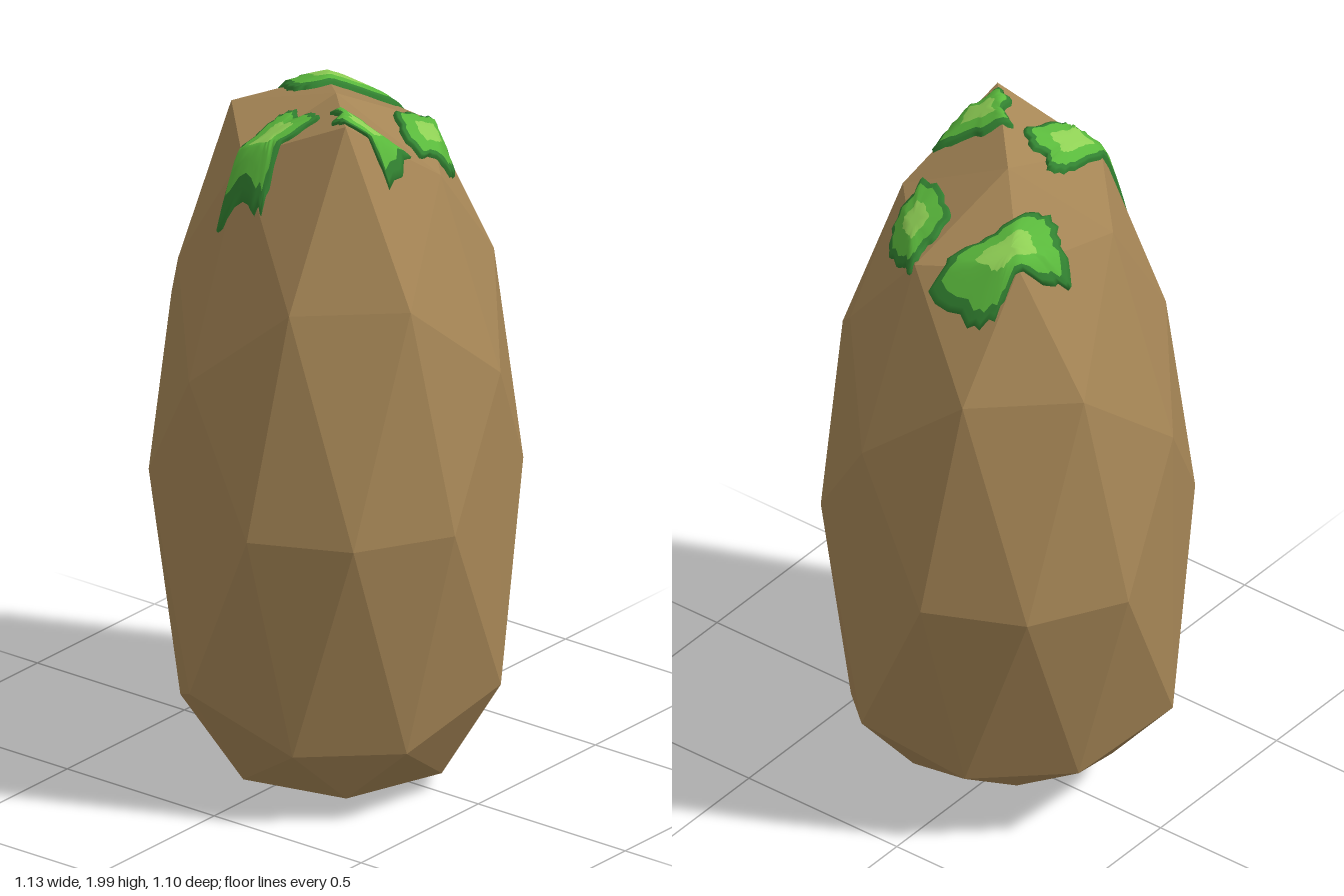
import * as THREE from 'three';

const material = (color, flatShading) =>
  new THREE.MeshStandardMaterial({ color, flatShading, side: THREE.DoubleSide });

// Level of the unit icosphere -> [level, height, radius scale, lean along u, lean along v]
const levels = [
  [1, 1.94, 1, 0, 0], [0.851, 1.915, 1.04, 0.21, 0], [0.809, 1.81, 1, 0, 0.14],
  [0.526, 1.475, 0.97, 0, 0], [0.5, 1.503, 0.98, 0, 0], [0.309, 1.245, 1, 0, 0],
  [0, 0.865, 1, 0, 0], [-0.309, 0.345, 1, 0, 0], [-0.5, 0.233, 0.92, -0.03, 0],
  [-0.526, 0.218, 0.96, 0, 0], [-0.809, 0.083, 1, -0.14, 0], [-0.851, 0.08, 1, -0.1, 0],
  [-1, 0.004, 1, 0, 0],
];

// Tall faceted boulder: a subdivided icosahedron, stretched level by level
function createRock() {
  const geometry = new THREE.IcosahedronGeometry(1, 1);
  const pos = geometry.attributes.position;
  const turn = THREE.MathUtils.degToRad(137);
  const c = Math.cos(turn), s = Math.sin(turn);
  for (let i = 0; i < pos.count; i++) {
    const level = pos.getY(i), z = pos.getZ(i);
    const [, height, scale, leanU, leanV] = levels.reduce((a, b) =>
      Math.abs(b[0] - level) < Math.abs(a[0] - level) ? b : a);
    // long axis u drifts towards the foot, short axis v is slightly boxy
    const u = pos.getX(i) * 0.6 * scale + 0.045 * Math.max(0, -level) * (level > -0.95 ? 1 : 0);
    const v = (0.54 * z - 0.04 * z ** 3) * scale;
    pos.setXYZ(i, u * c - v * s - 0.005, height + leanU * u + leanV * v, u * s + v * c + 0.02);
  }
  geometry.computeVertexNormals();
  const rock = new THREE.Mesh(geometry, material(0xa68656, true));
  rock.name = 'rock';
  return rock;
}

// Moss outlines seen from above, as [x, z]
const outlines = {
  mossLeft: [[-0.37, -0.09], [-0.3, -0.07], [-0.22, -0.07], [-0.13, -0.07], [-0.1, -0.035],
    [-0.145, 0], [-0.13, 0.04], [-0.16, 0.09], [-0.24, 0.08], [-0.3, 0.06], [-0.375, 0.06], [-0.365, 0.01]],
  mossFront: [[-0.145, 0.11], [-0.095, 0.17], [-0.09, 0.21], [-0.045, 0.305], [-0.165, 0.33],
    [-0.175, 0.26], [-0.225, 0.22], [-0.22, 0.175], [-0.165, 0.16]],
  mossFrontRight: [[0.32, 0.09], [0.285, 0.15], [0.23, 0.23], [0.155, 0.28], [0.09, 0.265],
    [0.03, 0.275], [0.065, 0.19], [0.15, 0.09], [0.215, 0.08], [0.265, 0.09]],
  mossBackRight: [[0.125, -0.295], [0.175, -0.265], [0.245, -0.2], [0.32, -0.19], [0.35, -0.12],
    [0.335, 0.02], [0.245, -0.01], [0.17, -0.075], [0.08, -0.105], [0.035, -0.155], [0.08, -0.225]],
};

// Colour bands from the middle outwards: rings of [size, lift above the rock]
const bands = [
  { name: 'mossHighlight', color: 0x8fd055, rings: [[0, 0.024], [0.15, 0.024], [0.3, 0.024], [0.42, 0.022]] },
  { name: 'mossBody', color: 0x5ab93c, rings: [[0.42, 0.022], [0.55, 0.02], [0.7, 0.018], [0.82, 0.016]] },
  { name: 'mossRim', color: 0x318030, rings: [[0.82, 0.016], [0.92, 0.013], [0.99, 0.01], [1, -0.01]] },
];

// Moss patch: concentric rings dropped onto the rock
function createMoss(name, corners, rock) {
  const patch = new THREE.Group();
  patch.name = name;
  const ray = new THREE.Raycaster();
  const down = new THREE.Vector3(0, -1, 0);
  const heart = new THREE.Vector3(0, 1.4, 0);
  const cx = corners.reduce((t, p) => t + p[0], 0) / corners.length;
  const cz = corners.reduce((t, p) => t + p[1], 0) / corners.length;

  // finer, ragged outline, so that the moss follows the facets
  const outline = corners.flatMap(([x, z], i) => {
    const [nx, nz] = corners[(i + 1) % corners.length];
    return [0, 1, 2, 3].map((k) => {
      const ragged = 1 + (k ? 0.06 * Math.sin(i * 5.3 + k * 2.1) : 0);
      return [cx + (x + (nx - x) * k / 4 - cx) * ragged, cz + (z + (nz - z) * k / 4 - cz) * ragged];
    });
  });
  const drape = (x, z, lift) => {
    ray.set(new THREE.Vector3(x, 3, z), down);
    const p = ray.intersectObject(rock)[0].point.clone();
    return p.addScaledVector(p.clone().sub(heart).normalize(), lift);
  };

  for (const { name: bandName, color, rings } of bands) {
    const points = [], index = [];
    const n = outline.length;
    rings.forEach(([size, lift], r) => {
      outline.forEach(([x, z], i) => {
        points.push(drape(cx + (x - cx) * size, cz + (z - cz) * size, lift));
        if (r === 0) return;
        const a = (r - 1) * n + i, b = (r - 1) * n + (i + 1) % n;
        index.push(a, b, b + n, a, b + n, a + n);
      });
    });
    const geometry = new THREE.BufferGeometry().setFromPoints(points);
    geometry.setIndex(index);
    geometry.computeVertexNormals();
    // turn the faces outwards whichever way the outline runs
    let up = 0;
    for (let i = 0; i < points.length; i++) up += geometry.attributes.normal.getY(i);
    if (up < 0) {
      geometry.setIndex(index.reverse());
      geometry.computeVertexNormals();
    }
    const mesh = new THREE.Mesh(geometry, material(color, false));
    mesh.name = bandName;
    patch.add(mesh);
  }
  return patch;
}

export function createModel() {
  const model = new THREE.Group();
  model.name = 'mossyRock';
  const rock = createRock();
  model.add(rock);
  for (const [name, corners] of Object.entries(outlines)) model.add(createMoss(name, corners, rock));
  return model;
}
